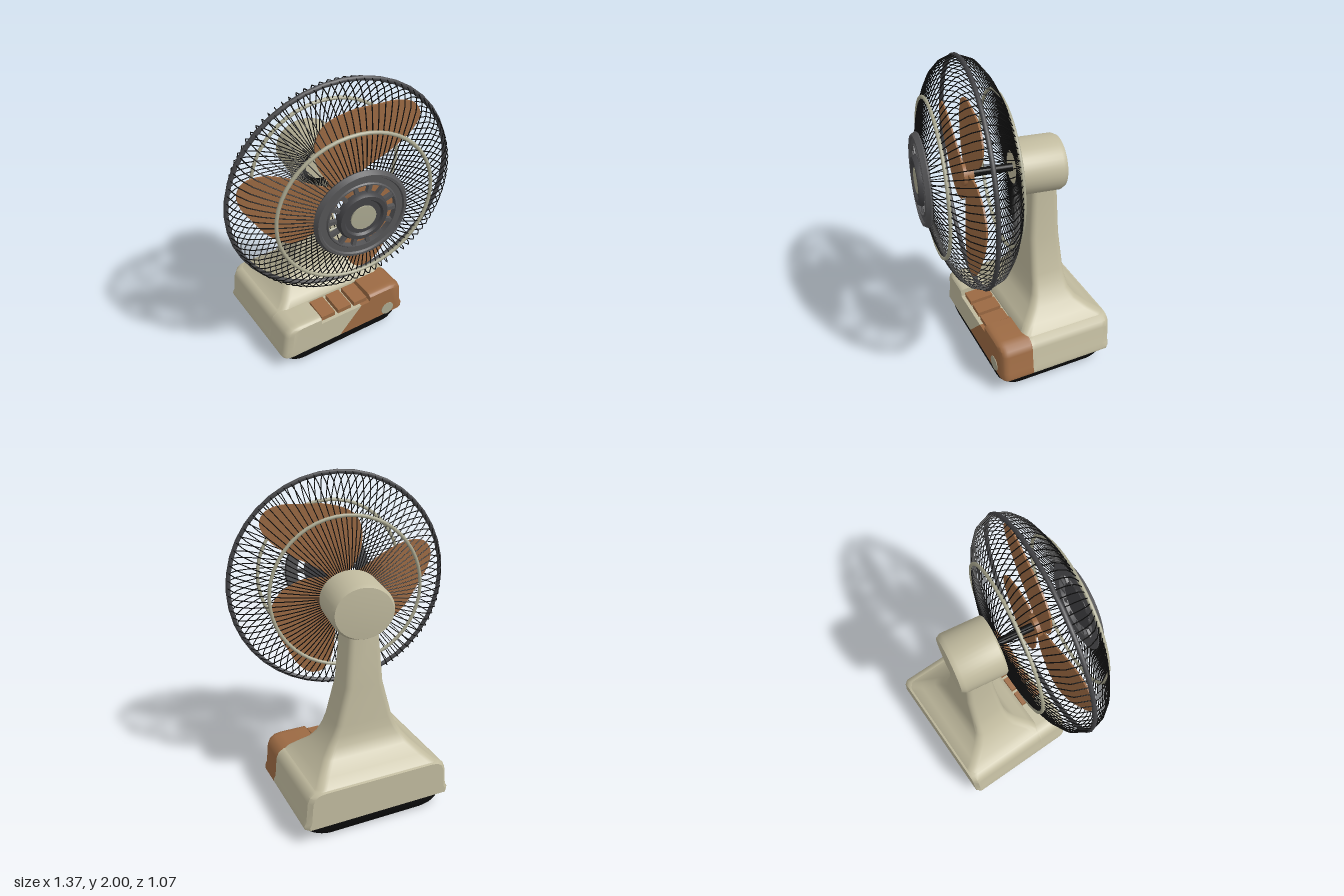
import * as THREE from 'three';
import { mergeGeometries, toCreasedNormals } from 'three/addons/utils/BufferGeometryUtils.js';

const material = (name, color) => {
  const m = new THREE.MeshStandardMaterial({ color });
  m.name = name;
  return m;
};

const CX = 0.065; // centre line of the base

// Stack of rounded rectangles: [y, half width, front z, back z, corner radius]
function loft(sections) {
  const pos = [], idx = [], K = 6, N = 4 * (K + 1);
  for (const [y, hx, zf, zb, r] of sections) {
    for (let c = 0; c < 4; c++) {
      const x0 = CX + (c === 0 || c === 3 ? hx - r : r - hx);
      const z0 = c < 2 ? zf - r : zb + r;
      for (let k = 0; k <= K; k++) {
        const a = (c + k / K) * Math.PI / 2;
        pos.push(x0 + r * Math.cos(a), y, z0 + r * Math.sin(a));
      }
    }
  }
  const last = (sections.length - 1) * N;
  const low = pos.length / 3, high = low + 1;
  for (const s of [sections[0], sections.at(-1)]) pos.push(CX, s[0], (s[2] + s[3]) / 2);
  for (let j = 0; j < N; j++) {
    const n = (j + 1) % N;
    for (let i = 0; i < last; i += N) {
      idx.push(i + j, i + N + j, i + n, i + n, i + N + j, i + N + n);
    }
    idx.push(low, j, n, high, last + n, last + j);
  }
  const g = new THREE.BufferGeometry();
  g.setAttribute('position', new THREE.Float32BufferAttribute(pos, 3));
  g.setIndex(idx);
  return toCreasedNormals(g, 0.8);
}

// Inward offset of a rounded corner of radius r at distance t from its end
function cornerInset(t, r) {
  const u = THREE.MathUtils.clamp(r - t, 0, r);
  return r - Math.sqrt(r * r - u * u);
}

// Housing slice: a front outline pushed along z, its end corners rounded
function housingSlice(points, z0, z1, roundFront, roundBack) {
  const shape = new THREE.Shape(points.map(p => new THREE.Vector2(p[0], p[1])));
  const g = new THREE.ExtrudeGeometry(shape, { depth: z1 - z0, steps: 20, bevelEnabled: false });
  const p = g.attributes.position;
  for (let i = 0; i < p.count; i++) {
    const z = p.getZ(i) + z0, dx = p.getX(i) - CX, y = p.getY(i);
    const off = cornerInset(z1 - z, roundFront) + cornerInset(z - z0, roundBack);
    const share = THREE.MathUtils.clamp((Math.abs(dx) - 0.3) / 0.16, 0, 1);
    const drop = y > 0.3 ? 0.35 * off * (y - 0.3) / 0.045 : 0;
    p.setXYZ(i, CX + dx - Math.sign(dx) * off * share, y - drop, z);
  }
  return toCreasedNormals(g, 0.7);
}

// Turned part whose axis is z: points are [radius, z]
function turned(points, segments = 40) {
  const g = new THREE.LatheGeometry(points.map(p => new THREE.Vector2(p[0], p[1])), segments);
  return toCreasedNormals(g.rotateX(Math.PI / 2), 0.6);
}

// Ring of bent wires following a [radius, z] profile
function wires(profile, count, phase) {
  const one = new THREE.TubeGeometry(
    new THREE.CatmullRomCurve3(profile.map(([r, z]) => new THREE.Vector3(r, 0, z))), 7, 0.0035, 3);
  const all = [];
  for (let i = 0; i < count; i++) all.push(one.clone().rotateZ((i + phase) / count * Math.PI * 2));
  return mergeGeometries(all);
}

export function createModel() {
  const cream = material('cream plastic', 0xc0ba9e);
  const paleTrim = material('pale trim', 0xaaa890);
  const brown = material('brown plastic', 0x9c6a43);
  const grey = material('grey hub', 0x555557);
  const rimGrey = material('dark rim', 0x434346);
  const black = material('black', 0x0d0d0d);

  const model = new THREE.Group();
  model.name = 'deskFan';
  const add = (parent, name, geometry, mat) => {
    const mesh = new THREE.Mesh(geometry, mat);
    mesh.name = name;
    parent.add(mesh);
    return mesh;
  };

  // Black foot
  add(model, 'foot', loft([
    [0, 0.385, 0.165, -0.465, 0.1], [0.012, 0.41, 0.18, -0.485, 0.11], [0.035, 0.435, 0.197, -0.503, 0.11],
    [0.07, 0.453, 0.205, -0.515, 0.1], [0.115, 0.46, 0.208, -0.52, 0.09],
  ]), black);

  // Housing: rear, then the front cut by a diagonal and a button notch
  const side = [[0.475, 0.11], [0.477, 0.13], [0.464, 0.155], [0.452, 0.28],
    [0.437, 0.315], [0.405, 0.338], [0.36, 0.345]];
  const leftSide = side.map(([a, y]) => [CX + a, y]);
  const rightSide = side.map(([a, y]) => [CX - a, y]).reverse();
  add(model, 'housingRear', housingSlice([...leftSide, ...rightSide], -0.54, 0.01, 0, 0.025), cream);
  add(model, 'housingFrontCream', housingSlice(
    [[0.015, 0.11], [0.18, 0.292], [-0.13, 0.292], [-0.13, 0.345], ...rightSide], 0.01, 0.218, 0.05, 0), cream);
  add(model, 'housingFrontBrown', housingSlice(
    [...leftSide, [0.25, 0.345], [0.25, 0.292], [0.18, 0.292], [0.015, 0.11]], 0.01, 0.218, 0.05, 0), brown);

  // Push buttons and round dial
  for (const x of [-0.065, 0.06, 0.185]) {
    const b = add(model, 'button', new THREE.BoxGeometry(0.1, 0.035, 0.155), brown);
    b.position.set(x, 0.312, 0.118);
    b.rotation.x = 0.06;
  }
  const dial = add(model, 'dial', new THREE.CylinderGeometry(0.048, 0.048, 0.008, 24), paleTrim);
  dial.rotation.x = Math.PI / 2;
  dial.position.set(0.4, 0.155, 0.217);

  // Flared neck
  add(model, 'neck', loft([
    [0.33, 0.415, 0.035, -0.53, 0.04], [0.345, 0.385, 0.035, -0.525, 0.05], [0.38, 0.345, 0, -0.465, 0.05],
    [0.44, 0.285, -0.065, -0.39, 0.05], [0.5, 0.24, -0.1, -0.356, 0.045], [0.56, 0.205, -0.113, -0.346, 0.04],
    [0.62, 0.18, -0.117, -0.342, 0.04], [0.85, 0.122, -0.128, -0.332, 0.04], [1.2, 0.095, -0.142, -0.318, 0.04],
  ]), cream);

  // Head, turned slightly to one side
  const head = new THREE.Group();
  head.name = 'head';
  head.position.set(0, 1.31, 0.207);
  head.rotation.y = -0.153;
  model.add(head);

  const motor = add(head, 'motorHousing', turned([
    [0, -0.575], [0.172, -0.563], [0.188, -0.535], [0.188, -0.285], [0.18, -0.275], [0, -0.275]]), cream);
  motor.scale.y = 0.885;
  add(head, 'shaft', turned([[0, -0.28], [0.025, -0.28], [0.025, 0.03], [0, 0.03]], 16), black);

  // Three blades from one [degrees, radius] outline
  const outline = [[50, 0.05], [36, 0.2], [33, 0.36], [35, 0.52], [40, 0.61], [47, 0.632], [56, 0.6],
    [68, 0.535], [84, 0.49], [103, 0.44], [114, 0.37], [122, 0.29], [131, 0.2], [140, 0.05]];
  const curve = new THREE.CatmullRomCurve3(outline.map(([d, r]) => {
    const a = d * Math.PI / 180;
    return new THREE.Vector3(r * Math.cos(a), r * Math.sin(a), 0);
  }), true);
  const bladeShape = new THREE.Shape(curve.getPoints(56).slice(0, -1).map(p => new THREE.Vector2(p.x, p.y)));
  const bladeGeo = new THREE.ExtrudeGeometry(bladeShape, { depth: 0.01, bevelEnabled: false });
  const bp = bladeGeo.attributes.position;
  for (let i = 0; i < bp.count; i++) { // slight pitch across the blade
    bp.setZ(i, bp.getZ(i) + 0.05 * (bp.getX(i) * 0.95 - bp.getY(i) * 0.3));
  }
  bladeGeo.computeVertexNormals();
  for (let i = 0; i < 3; i++) {
    add(head, 'blade', bladeGeo, brown).rotation.z = i * Math.PI * 2 / 3;
  }
  add(head, 'bladeHub', turned([[0, -0.03], [0.07, -0.03], [0.07, 0.03], [0.05, 0.04], [0, 0.04]], 24), brown);

  // Cage
  const bulge = [[0.683, 0], [0.665, 0.06], [0.625, 0.115], [0.466, 0.2]];
  add(head, 'frontWires', wires([...bulge, [0.25, 0.262]], 90, 0), black);
  add(head, 'rearWires', wires([...bulge, [0.28, 0.252], [0.1, 0.272]].map(([r, z]) => [r, -z]), 90, 0.5), black);
  add(head, 'rim', new THREE.TorusGeometry(0.677, 0.014, 8, 40), rimGrey);
  for (const z of [0.203, -0.203]) {
    add(head, 'cageRing', new THREE.TorusGeometry(0.466, 0.011, 8, 48), paleTrim).position.z = z;
  }

  // Front badge: outer ring, ribs, inner ring and centre cap
  add(head, 'hubOuterRing', turned([[0.2, 0.25], [0.272, 0.25], [0.28, 0.265], [0.264, 0.291],
    [0.25, 0.291], [0.244, 0.28], [0.212, 0.28], [0.206, 0.288], [0.2, 0.288], [0.2, 0.25]], 48), grey);
  add(head, 'hubInnerRing', turned([[0, 0.262], [0.15, 0.262], [0.15, 0.285], [0.138, 0.306],
    [0.115, 0.306], [0.105, 0.292], [0, 0.292]], 48), rimGrey);
  for (let i = 0; i < 14; i++) {
    const a = i / 14 * Math.PI * 2;
    const rib = add(head, 'hubRib', new THREE.BoxGeometry(0.062, 0.022, 0.025), grey);
    rib.position.set(0.176 * Math.cos(a), 0.176 * Math.sin(a), 0.269);
    rib.rotation.z = a;
  }
  add(head, 'hubCap', turned([[0, 0.285], [0.075, 0.285], [0.075, 0.3], [0, 0.302]], 24), paleTrim);

  return model;
}
